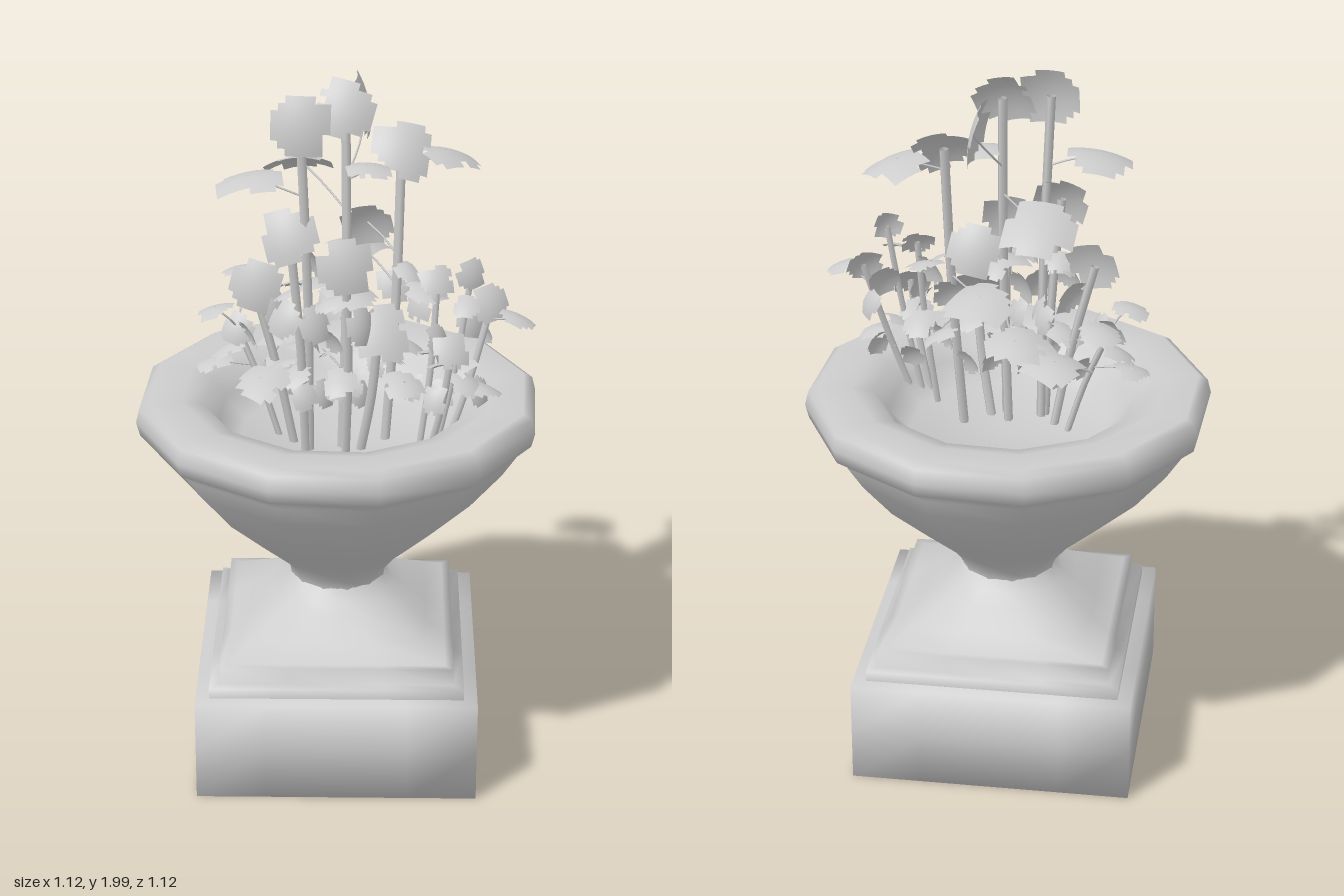
import * as THREE from 'three';
import { mergeVertices, mergeGeometries } from 'three/addons/utils/BufferGeometryUtils.js';

const stone = new THREE.MeshStandardMaterial({ color: 0xcccccc });
stone.name = 'pale grey stone';
const foliage = new THREE.MeshStandardMaterial({ color: 0xcccccc, side: THREE.DoubleSide });
foliage.name = 'pale grey foliage';

const V = (x, y, z) => new THREE.Vector3(x, y, z);

function add(parent, name, geometry, material) {
  const mesh = new THREE.Mesh(geometry, material);
  mesh.name = name;
  parent.add(mesh);
}

// Shares the vertices so shading flows round the edges
function smooth(geometry) {
  geometry.deleteAttribute('normal');
  geometry.deleteAttribute('uv');
  const merged = mergeVertices(geometry, 1e-4);
  merged.computeVertexNormals();
  return merged;
}

// Square plinth with soft shading
function plinth() {
  return smooth(new THREE.BoxGeometry(0.79, 0.30, 0.79, 4, 2, 4)).translate(0, 0.15, 0);
}

// Pedestal cap: two square steps, then a shoulder that turns round at the neck
function cap() {
  const rings = [
    [0.29, 0.357, 1], [0.33, 0.357, 1], [0.33, 0.328, 1], [0.38, 0.328, 1], [0.38, 0.305, 1],
    [0.42, 0.255, 0.85], [0.47, 0.195, 0.5], [0.50, 0.155, 0.2], [0.53, 0.135, 0],
  ];
  const n = 16, points = [], index = [];
  rings.forEach(([y, r, square], j) => {
    for (let i = 0; i < n; i++) {
      const a = (i / n) * Math.PI * 2, s = Math.sin(a), c = Math.cos(a);
      const k = r * (1 - square + square / Math.max(Math.abs(s), Math.abs(c)));
      points.push(k * s, y, k * c);
      if (j === 0) continue;
      const p = (j - 1) * n + i, q = (j - 1) * n + (i + 1) % n;
      index.push(p, q, p + n, q, q + n, p + n);
    }
  });
  const g = new THREE.BufferGeometry();
  g.setAttribute('position', new THREE.Float32BufferAttribute(points, 3));
  g.setIndex(index);
  g.computeVertexNormals();
  return g;
}

// Twelve-sided bowl with rolled rim and hollow inside
function bowl() {
  const profile = [
    [0.135, 0.52], [0.14, 0.55], [0.18, 0.60], [0.27, 0.68], [0.39, 0.79], [0.48, 0.90], [0.525, 0.97],
    [0.53, 0.995], [0.56, 1.0], [0.57, 1.04], [0.56, 1.08], [0.535, 1.095],
    [0.44, 1.09], [0.38, 1.075], [0.34, 1.02], [0.28, 0.96], [0, 0.94],
  ].map(([r, y]) => new THREE.Vector2(r, y));
  return smooth(new THREE.LatheGeometry(profile, 12, THREE.MathUtils.degToRad(12)));
}

// Cupped card with a stepped outline, made by dropping the corner cells of a grid
function card(at, facing, size, stretch, seed) {
  const n = 8, g = new THREE.PlaneGeometry(size, size * stretch, n, n);
  const kept = [], cells = g.index.array;
  for (let cell = 0; cell < n * n; cell++) {
    const u = ((cell % n) + 0.5) / n * 2 - 1, v = (Math.floor(cell / n) + 0.5) / n * 2 - 1;
    const jitter = Math.abs(Math.sin((cell + 1) * 12.9 + seed * 7.3)) * 0.3;
    if (Math.hypot(u, v) < 0.84 + jitter) kept.push(...cells.slice(cell * 6, cell * 6 + 6));
  }
  g.setIndex(kept);
  const p = g.attributes.position;
  for (let i = 0; i < p.count; i++) {
    p.setZ(i, -0.5 * (p.getX(i) ** 2 + 0.6 * p.getY(i) ** 2) / size);
  }
  g.computeVertexNormals();
  const holder = new THREE.Object3D();
  holder.position.copy(at);
  holder.lookAt(at.clone().add(facing));
  holder.rotateZ(Math.sin(seed * 5.1) * 0.3);
  holder.updateMatrix();
  return g.applyMatrix4(holder.matrix);
}

function stalk(a, b, radius) {
  const middle = a.clone().lerp(b, 0.5).add(V(0.008, 0, 0.008));
  return new THREE.TubeGeometry(new THREE.CatmullRomCurve3([a, middle, b]), 6, radius, 5);
}

// Stems: foot x, foot z, tip x, tip y, tip z, bloom size
const stems = [
  [-0.08, 0.09, -0.10, 1.90, 0.11, 0.16], [0.01, 0.06, 0.02, 1.92, 0.02, 0.155],
  [0.13, 0.02, 0.17, 1.79, -0.04, 0.16], [0.02, 0.10, 0.02, 1.52, 0.15, 0.15],
  [-0.09, 0.10, -0.13, 1.60, 0.12, 0.15], [0.06, 0.08, 0.11, 1.32, 0.12, 0.16],
  [-0.12, 0.04, -0.23, 1.43, 0.06, 0.14], [-0.16, 0.00, -0.28, 1.27, -0.02, 0.09],
  [0.22, 0.12, 0.27, 1.46, 0.09, 0.09], [0.26, 0.14, 0.36, 1.49, 0.12, 0.08],
  [0.28, 0.13, 0.42, 1.39, 0.07, 0.10], [0.24, 0.15, 0.31, 1.30, 0.19, 0.10],
].map(([fx, fz, x, y, z, size]) => ({ foot: V(fx, 0.93, fz), tip: V(x, y, z), size }));

// Spreading leaves: x, y, z, size, backward tilt
const leaves = [
  [0.29, 1.77, -0.08, 0.17, 0.1], [-0.24, 1.75, 0.08, 0.18, 0], [-0.12, 1.68, -0.27, 0.19, 0.5],
  [0.04, 1.45, -0.24, 0.18, 0.2], [-0.05, 1.33, -0.24, 0.16, 0.2], [0.03, 1.43, 0.11, 0.15, -0.1],
  [-0.14, 1.22, -0.12, 0.16, 0.1], [-0.21, 1.19, 0.15, 0.14, -0.3], [0.49, 1.37, 0.13, 0.10, 0],
  [-0.34, 1.34, 0.01, 0.10, 0], [-0.35, 1.17, -0.03, 0.10, 0], [-0.28, 1.37, -0.23, 0.11, 0.2],
  [0.18, 1.20, 0.19, 0.11, -0.3], [0.40, 1.17, 0.15, 0.10, 0], [0.08, 1.54, -0.13, 0.14, 2.5],
  [0.08, 1.77, 0.05, 0.12, 0], [-0.07, 1.22, -0.05, 0.14, 0.2], [0.24, 1.42, 0.06, 0.11, -0.2],
].map(([x, y, z, size, tilt]) => ({ at: V(x, y, z), size, tilt }));

// Point on the nearest stem where a leaf's twig begins
function rootOf(at) {
  const points = stems.map(({ foot, tip }) =>
    new THREE.Line3(foot, tip).closestPointToPoint(at.clone().add(V(0, -0.05, 0)), true, V(0, 0, 0)));
  return points.sort((a, b) => a.distanceTo(at) - b.distanceTo(at))[0];
}

// Small leaves spiralling up the lower part of every stem
function smallLeaves() {
  const list = [];
  stems.forEach(({ foot, tip }, s) => {
    const top = Math.min(tip.y - 0.05, 1.5);
    for (let y = 1.12 + (s % 3) * 0.02, k = 0; y < top; y += 0.075, k++) {
      const turn = s * 1.9 + k * 2.4;
      const out = V(Math.cos(turn), 0, Math.sin(turn));
      const at = foot.clone().lerp(tip, (y - foot.y) / (tip.y - foot.y)).addScaledVector(out, 0.05);
      const facing = [V(out.x, 0.5, 1), V(out.x * 0.5, 1, out.z * 0.5), V(1, 0.5, out.z)][k % 3];
      list.push(card(at, facing, 0.07 + (k % 2) * 0.02, 1.15, s + k));
    }
  });
  return mergeGeometries(list);
}

export function createModel() {
  const model = new THREE.Group();

  const pedestal = new THREE.Group();
  pedestal.name = 'pedestal';
  add(pedestal, 'plinth', plinth(), stone);
  add(pedestal, 'cap', cap(), stone);
  model.add(pedestal);

  add(model, 'bowl', bowl(), stone);

  const plant = new THREE.Group();
  plant.name = 'plant';
  add(plant, 'stems', mergeGeometries(stems.map(({ foot, tip, size }) =>
    stalk(foot, tip, 0.004 + size * 0.06))), foliage);
  add(plant, 'twigs', mergeGeometries(leaves.map(({ at }) => stalk(rootOf(at), at, 0.003))), foliage);
  add(plant, 'blooms', mergeGeometries(stems.map(({ tip, size }, i) =>
    card(tip.clone().add(V(0, 0, 0.015)), V(tip.x, 0.2 + (i % 3) * 0.25, 1), size, 1, i))), foliage);
  add(plant, 'largeLeaves', mergeGeometries(leaves.map(({ at, size, tilt }, i) =>
    card(at, V(at.x * 0.8, 1, -tilt), size, 1, i + 20))), foliage);
  add(plant, 'smallLeaves', smallLeaves(), foliage);
  // Bloom turned sideways behind the tallest stems
  add(plant, 'sideBloom', card(V(0.08, 1.88, -0.14), V(1, 0.2, 0.1), 0.17, 1, 3), foliage);
  add(plant, 'sideBloomTwig', stalk(V(0.02, 1.72, 0.03), V(0.075, 1.87, -0.14), 0.003), foliage);
  model.add(plant);
  return model;
}
